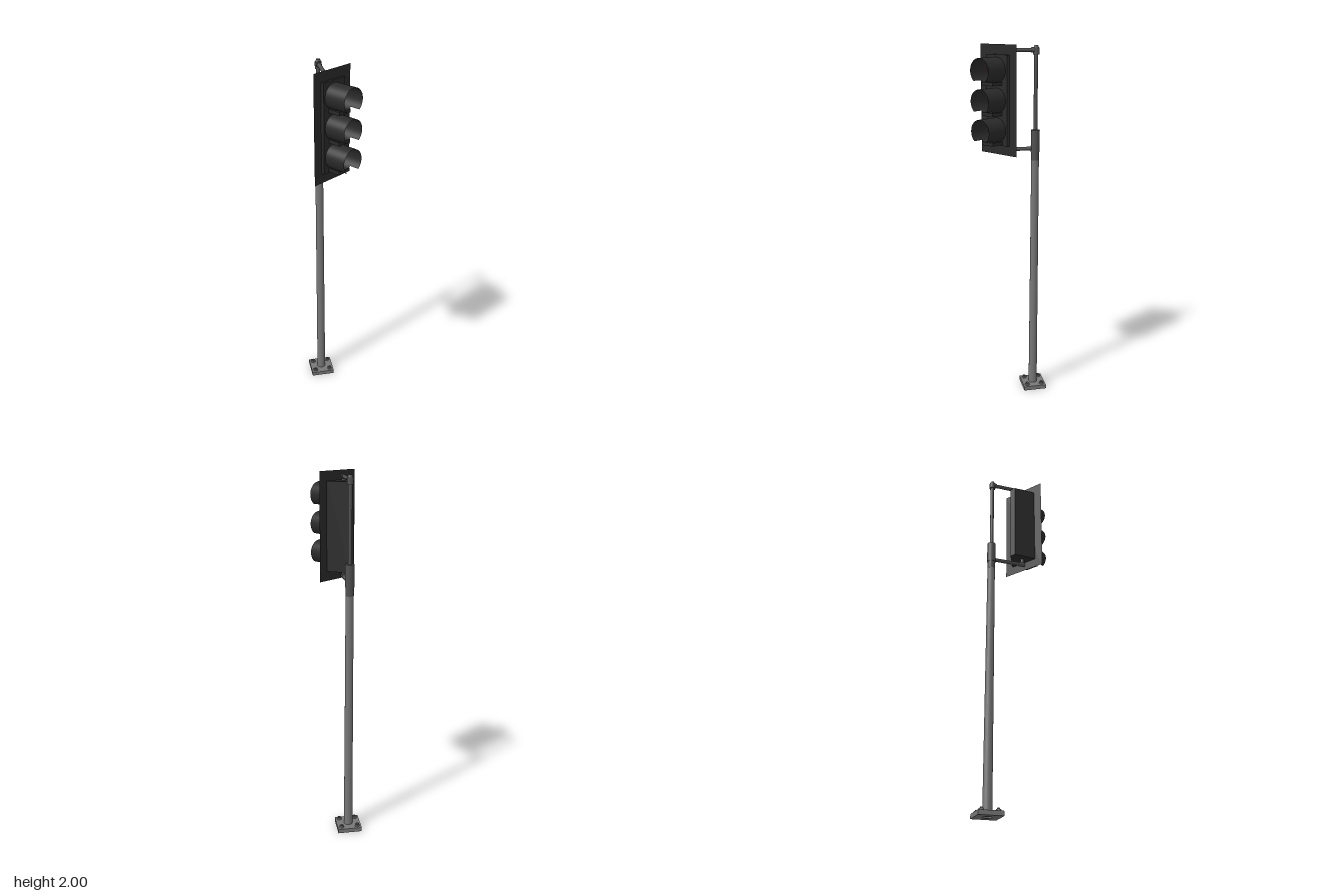
import * as THREE from 'three';

export function createModel() {
  const model = new THREE.Group();
  const mat = (name, color, double) => {
    const m = new THREE.MeshStandardMaterial({ color });
    m.name = name;
    if (double) m.side = THREE.DoubleSide;
    return m;
  };
  const steel = mat('galvanised steel', 0x777777);
  const darkSteel = mat('dark steel', 0x505050);
  const housing = mat('black housing', 0x2a2a2a, true);
  const red = mat('red lens', 0x5c2e20);
  const amber = mat('amber lens', 0x5c3422);
  const green = mat('green lens', 0x2c3a1e);

  const add = (parent, name, geo, material, x = 0, y = 0, z = 0) => {
    const mesh = new THREE.Mesh(geo, material);
    mesh.name = name;
    mesh.position.set(x, y, z);
    parent.add(mesh);
    return mesh;
  };
  // vertical tube from y0 to y1
  const upright = (parent, name, r0, r1, y0, y1, material, sides = 24, x = 0, z = 0) =>
    add(parent, name, new THREE.CylinderGeometry(r1, r0, y1 - y0, sides), material, x, (y0 + y1) / 2, z);
  // horizontal tube along z
  const level = (parent, name, r, z0, z1, y, material) =>
    add(parent, name, new THREE.CylinderGeometry(r, r, z1 - z0, 20).rotateX(Math.PI / 2), material, 0, y, (z0 + z1) / 2);

  // ---- mast ----
  const mast = new THREE.Group();
  mast.name = 'mast';
  mast.position.set(-0.044, 0, -0.147);
  model.add(mast);

  // base plate with a central hole for the pole
  const plate = new THREE.Shape();
  plate.moveTo(-0.068, -0.066).lineTo(0.068, -0.066).lineTo(0.068, 0.066).lineTo(-0.068, 0.066).closePath();
  plate.holes.push(new THREE.Path().absarc(0, 0, 0.024, 0, Math.PI * 2, true));
  add(mast, 'basePlate',
    new THREE.ExtrudeGeometry(plate, { depth: 0.024, bevelEnabled: false, curveSegments: 20 }).rotateX(-Math.PI / 2), steel);
  for (const x of [-0.045, 0.045]) for (const z of [-0.043, 0.043]) {
    upright(mast, 'nut', 0.014, 0.014, 0.024, 0.034, steel, 6, x, z);
    upright(mast, 'boltEnd', 0.007, 0.007, 0.034, 0.04, darkSteel, 10, x, z);
  }

  upright(mast, 'pole', 0.0245, 0.021, 0.006, 1.39, steel);
  upright(mast, 'poleCollar', 0.022, 0.022, 1.385, 1.43, darkSteel);
  upright(mast, 'sleeve', 0.024, 0.024, 1.43, 1.55, darkSteel);
  upright(mast, 'upperTube', 0.0105, 0.0105, 1.54, 1.96, darkSteel, 20);

  // top tee fitting
  upright(mast, 'teeFitting', 0.017, 0.017, 1.945, 1.98, darkSteel, 16);
  upright(mast, 'teeCap', 0.015, 0.01, 1.98, 1.993, darkSteel, 8);
  level(mast, 'teeCollar', 0.0145, 0, 0.025, 1.969, darkSteel);

  // two arms, each ending in an elbow that enters the housing
  for (const [y, y0, y1] of [[1.969, 1.94, 1.969], [1.449, 1.449, 1.49]]) {
    level(mast, 'arm', 0.0102, 0, 0.185, y, darkSteel);
    level(mast, 'elbow', 0.0125, 0.168, 0.202, y, darkSteel);
    upright(mast, 'nipple', 0.0105, 0.0105, y0, y1, darkSteel, 16, 0, 0.187);
  }

  // ---- signal head, turned toward its road ----
  const head = new THREE.Group();
  head.name = 'signalHead';
  head.position.set(-0.015, 0, 0.061);
  head.rotation.y = 0.614;
  model.add(head);

  add(head, 'backboard', new THREE.PlaneGeometry(0.257, 0.57), housing, 0, 1.715, 0);

  // tapered housing: plan outline raised vertically
  const plan = [[-0.079, 0], [-0.074, 0.0135], [0.074, 0.0135], [0.079, 0],
    [0.079, -0.006], [0.018, -0.109], [-0.014, -0.109], [-0.079, -0.006]];
  const outline = new THREE.Shape(plan.map(([u, f]) => new THREE.Vector2(u, -f)));
  add(head, 'housing',
    new THREE.ExtrudeGeometry(outline, { depth: 0.468, bevelEnabled: false }).rotateX(-Math.PI / 2), housing, 0, 1.481, 0);

  // open arc of visor wall; angle zero points straight down
  const visorArc = (length, start, sweep) =>
    new THREE.CylinderGeometry(0.065, 0.065, length, 32, 1, true, start, sweep)
      .rotateX(Math.PI / 2).translate(0, 0, 0.0135 + length / 2);
  const gap = 0.7;
  [[1.871, red], [1.716, amber], [1.562, green]].forEach(([y, lensMat]) => {
    const unit = new THREE.Group();
    unit.name = 'lampUnit';
    unit.position.y = y;
    head.add(unit);
    add(unit, 'visorHood', visorArc(0.125, gap, Math.PI * 2 - gap * 2), housing);
    add(unit, 'visorFloor', visorArc(0.07, -gap, gap * 2), housing);
    add(unit, 'visorLip', new THREE.BoxGeometry(0.08, 0.018, 0.07), housing, 0, -0.067, 0.0485);
    // shallow domed lens
    const dome = new THREE.SphereGeometry(0.063, 28, 8, 0, Math.PI * 2, 0, Math.PI / 2)
      .rotateX(Math.PI / 2).scale(1, 1, 0.2);
    add(unit, 'lens', dome, lensMat, 0, 0, 0.014);
  });

  return model;
}
